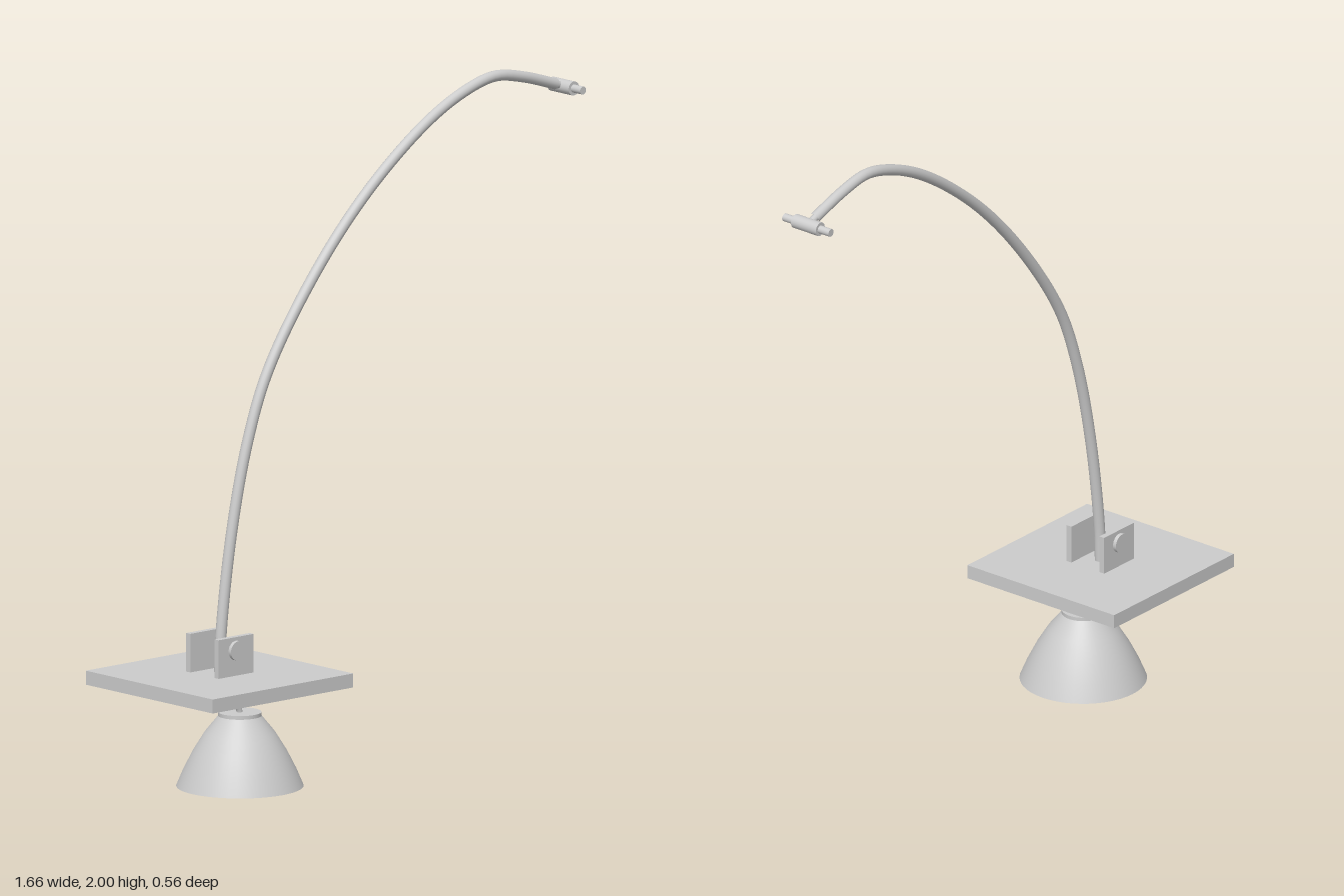
import * as THREE from 'three';

export function createModel() {
  const group = new THREE.Group();
  const grey = new THREE.MeshStandardMaterial({ color: 0xcccccc });
  const greyOpen = new THREE.MeshStandardMaterial({ color: 0xcccccc, side: THREE.DoubleSide });
  grey.name = 'grey metal';
  greyOpen.name = 'grey shade';

  const add = (name, geometry, x, y, z, material = grey) => {
    const mesh = new THREE.Mesh(geometry, material);
    mesh.name = name;
    mesh.position.set(x, y, z);
    group.add(mesh);
    return mesh;
  };
  // Cylinder lying along z
  const rod = (name, r, length, x, y, z = 0) =>
    add(name, new THREE.CylinderGeometry(r, r, length, 24).rotateX(Math.PI / 2), x, y, z);
  const tube = (name, points, r, segments) => {
    const curve = new THREE.CatmullRomCurve3(points.map(([x, y]) => new THREE.Vector3(x, y, 0)));
    return add(name, new THREE.TubeGeometry(curve, segments, r, 16), 0, 0, 0);
  };
  const lathe = (name, profile, x, material) =>
    add(name, new THREE.LatheGeometry(profile.map(([r, y]) => new THREE.Vector2(r, y)), 48), x, 0, 0, material);

  // Base plate
  add('basePlate', new THREE.BoxGeometry(0.555, 0.042, 0.555), -0.5525, 0.33, 0);

  // Upright brackets with pivot bolts
  for (const s of [-1, 1]) {
    add('bracket', new THREE.BoxGeometry(0.138, 0.117, 0.018), -0.551, 0.408, s * 0.062);
    rod('pivotBolt', 0.029, 0.012, -0.552, 0.427, s * 0.076);
  }

  // Curved arm
  tube('arm', [
    [-0.552, 0.34], [-0.546, 0.468], [-0.505, 0.76], [-0.442, 1.024], [-0.362, 1.225],
    [-0.177, 1.49], [0.034, 1.71], [0.272, 1.886], [0.431, 1.96], [0.537, 1.983],
    [0.643, 1.966], [0.775, 1.926],
  ], 0.0165, 100);
  tube('armTip', [[0.765, 1.929], [0.805, 1.916]], 0.011, 2);

  // Hinge at the end of the arm
  rod('tipBarrel', 0.021, 0.094, 0.805, 1.915);
  rod('tipPin', 0.012, 0.175, 0.805, 1.915);

  // Hinge under the plate and the stem of the lamp
  rod('lampBarrel', 0.026, 0.095, -0.552, 0.302);
  rod('lampPin', 0.02, 0.152, -0.552, 0.298);
  tube('lampStem', [[-0.555, 0.285], [-0.515, 0.262], [-0.48, 0.238], [-0.472, 0.215]], 0.009, 12);

  // Lamp shade, open at the bottom
  const shadeX = -0.472;
  lathe('shade', [[0.187, 0], [0.166, 0.05], [0.138, 0.105], [0.104, 0.16], [0.062, 0.212]], shadeX, greyOpen);
  add('shadeCap', new THREE.CylinderGeometry(0.064, 0.064, 0.011, 48), shadeX, 0.2155, 0);

  // Bulb and socket
  add('bulb', new THREE.SphereGeometry(0.045, 24, 16), shadeX, 0.1, 0);
  add('bulbSocket', new THREE.CylinderGeometry(0.026, 0.026, 0.09, 24), shadeX, 0.168, 0);

  return group;
}
